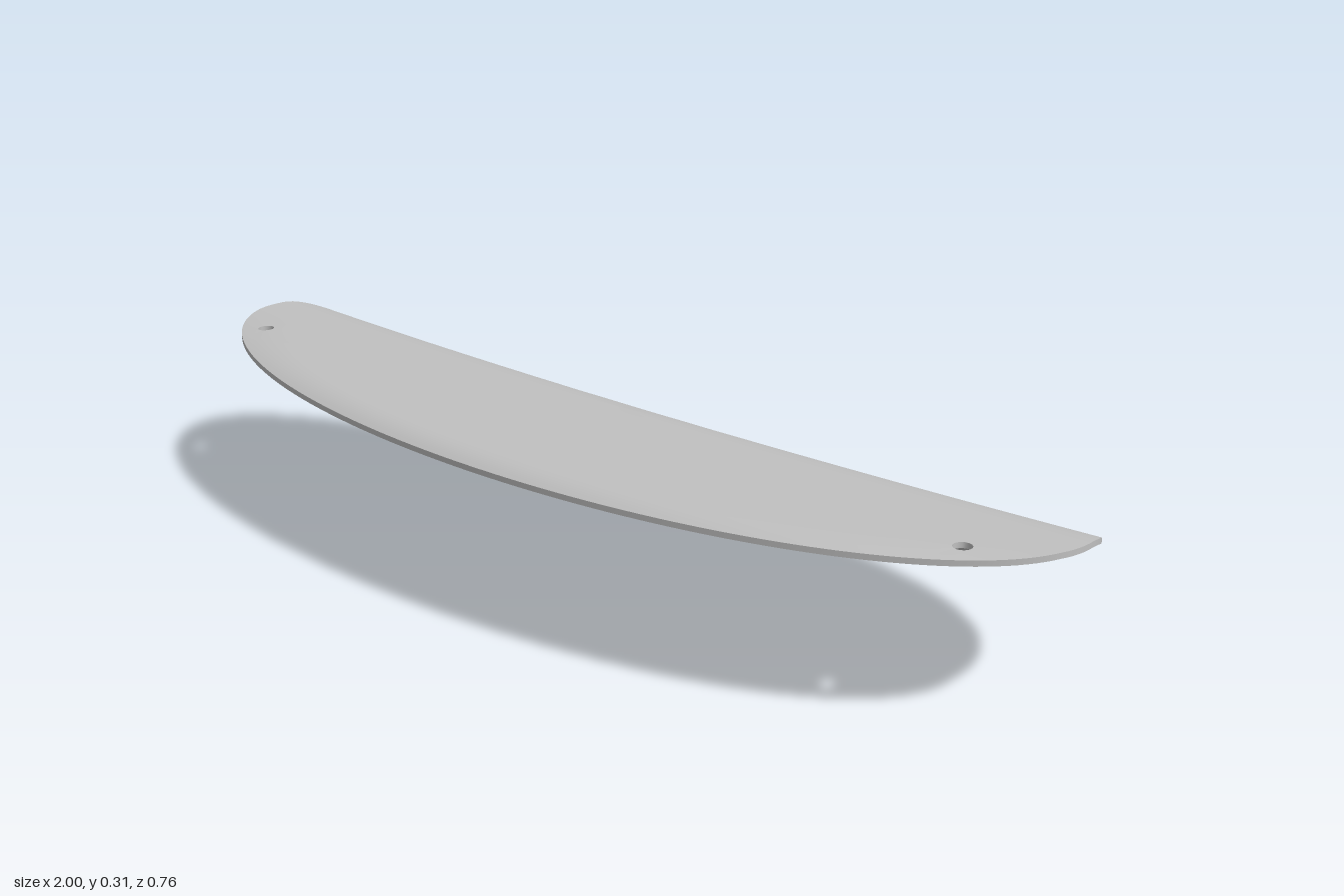
import * as THREE from 'three';

const N = 192;                 // segments around the ellipse
const DEPTH = 0.38;            // half depth (half width is 1)
const THICK = 0.01;
const RINGS = [0, 0.1, 0.2, 0.3, 0.4, 0.5, 0.6, 0.7, 0.77, 0.83, 0.88, 0.9, 0.92, 0.94, 0.96, 0.98, 1];
const R0 = 10, R1 = 15;        // rings bounding the cells opened up for a hole
const HALF = 4;                // half width of that opening, in segments
const HOLES = [{ seg: 12, x: 0.867 }, { seg: 84, x: -0.867 }];
const HOLE_Z = 0.13, HOLE_R = 0.016;

// Height of the upper face: flat in front, bent down behind a slightly curved crease,
// with the front rim curling down
function height(x, z) {
  const bend = Math.max(0, -(z - 0.035 * (1 - x * x)) - 0.02);
  const r = Math.hypot(x, z / DEPTH);
  const curl = Math.max(0, (r - 0.87) / 0.13);
  const amount = 0.016 * Math.max(0, (z - 0.05) / 0.33);
  return 0.312 - 1.398 * Math.pow(bend, 1.65) - amount * curl * curl;
}

function surface(name, positions, indices, material) {
  const g = new THREE.BufferGeometry();
  g.setAttribute('position', new THREE.Float32BufferAttribute(positions, 3));
  g.setIndex(indices);
  g.computeVertexNormals();
  const mesh = new THREE.Mesh(g, material);
  mesh.name = name;
  return mesh;
}

// Edge wall between the upper and lower faces along a closed loop of [x, z] points
function wall(name, loop, material) {
  const pos = [], idx = [], n = loop.length;
  for (const [x, z] of loop) {
    const y = height(x, z);
    pos.push(x, y, z, x, y - THICK, z);
  }
  for (let k = 0; k < n; k++) {
    const a = 2 * k, b = 2 * ((k + 1) % n);
    idx.push(a, b, b + 1, a, b + 1, a + 1);
  }
  return surface(name, pos, idx, material);
}

export function createModel() {
  const group = new THREE.Group();
  group.name = 'curvedOvalPlate';
  const grey = new THREE.MeshStandardMaterial({ color: 0xc0c0c0 });
  grey.name = 'light grey';

  // Polar grid of points over the ellipse
  const pts = [], tris = [];
  const id = (i, j) => i * N + ((j + N) % N);
  const quad = (a, b, c, d) => tris.push(a, b, c, a, c, d);
  for (const r of RINGS) {
    for (let j = 0; j < N; j++) {
      const t = (j / N) * Math.PI * 2;
      pts.push([r * Math.cos(t), DEPTH * r * Math.sin(t)]);
    }
  }
  const opened = (i, j) => i >= R0 && i < R1 &&
    HOLES.some(h => j >= h.seg - HALF && j < h.seg + HALF);
  for (let i = 0; i < RINGS.length - 1; i++) {
    for (let j = 0; j < N; j++) {
      if (opened(i, j)) continue;
      if (i === 0) tris.push(id(0, j), id(1, j + 1), id(1, j));
      else quad(id(i, j), id(i, j + 1), id(i + 1, j + 1), id(i + 1, j));
    }
  }

  // Join each opening to its round hole
  for (const h of HOLES) {
    const j0 = h.seg - HALF, j1 = h.seg + HALF, border = [];
    for (let j = j0; j < j1; j++) border.push(id(R0, j));
    for (let i = R0; i < R1; i++) border.push(id(i, j1));
    for (let j = j1; j > j0; j--) border.push(id(R1, j));
    for (let i = R1; i > R0; i--) border.push(id(i, j0));
    const start = pts.length, n = border.length;
    const circle = border.map(b => {
      const a = Math.atan2(pts[b][1] - HOLE_Z, pts[b][0] - h.x);
      return [h.x + HOLE_R * Math.cos(a), HOLE_Z + HOLE_R * Math.sin(a)];
    });
    pts.push(...circle);
    for (let k = 0; k < n; k++) {
      const m = (k + 1) % n;
      quad(border[k], border[m], start + m, start + k);
    }
    group.add(wall(h.x > 0 ? 'leftHoleWall' : 'rightHoleWall', circle, grey));
  }

  // Upper face, lower face and rim
  const top = pts.flatMap(([x, z]) => [x, height(x, z), z]);
  const bottom = pts.flatMap(([x, z]) => [x, height(x, z) - THICK, z]);
  group.add(surface('upperFace', top, tris, grey));
  group.add(surface('lowerFace', bottom, tris.slice().reverse(), grey));
  group.add(wall('rim', pts.slice((RINGS.length - 1) * N, RINGS.length * N), grey));
  return group;
}
